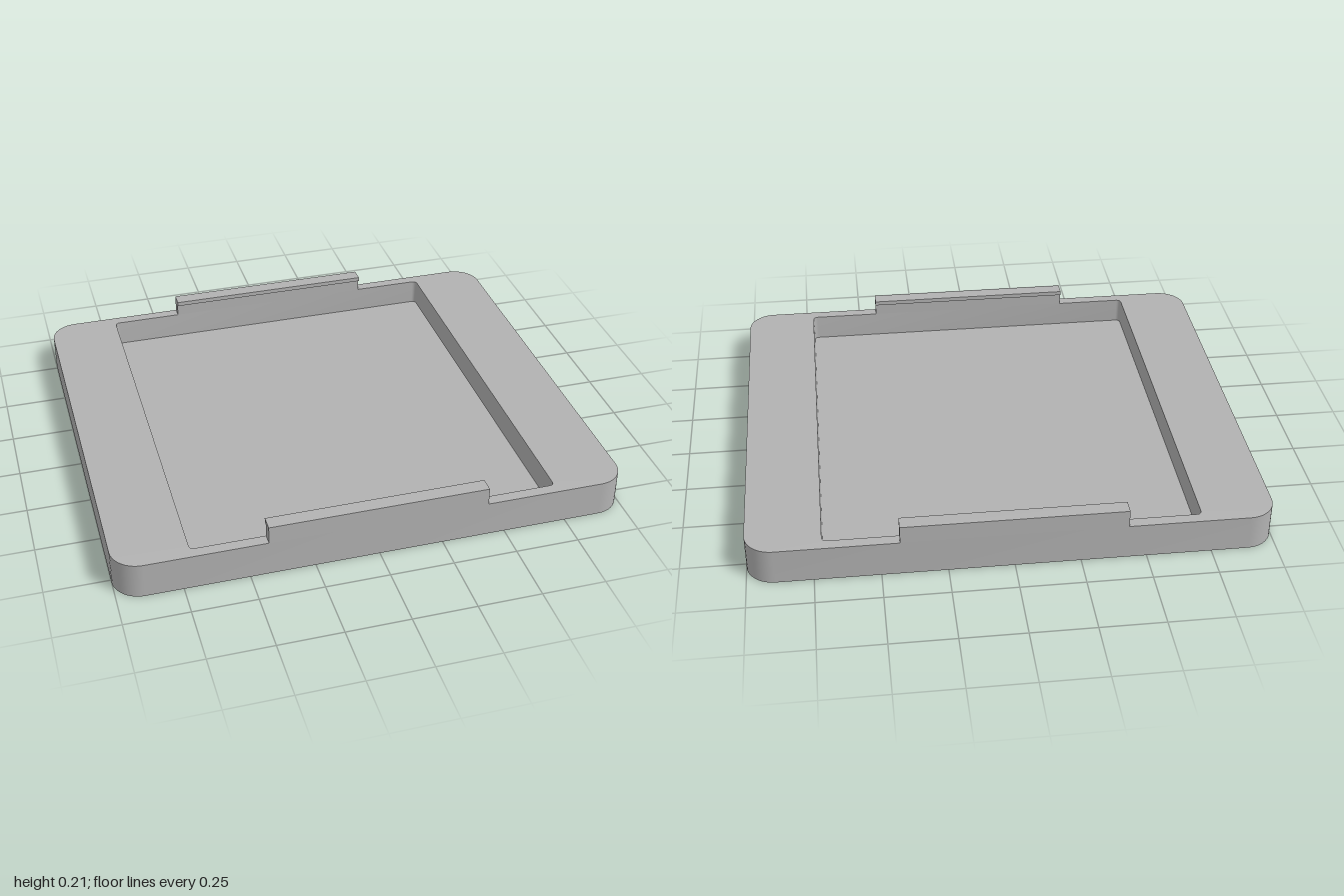
import * as THREE from 'three';
import { toCreasedNormals } from 'three/addons/utils/BufferGeometryUtils.js';

const HALF_X = 1, HALF_Z = 0.87;       // outer plate
const TOP = 0.143, FLOOR = 0.036;      // rim and pocket floor heights
const HOLE_R = 0.087, HOLE_TOP = 0.071; // blind holes underneath

// Counter-clockwise rounded rectangle, as a list of points
function roundedRect(hx, hz, r, steps) {
  const pts = [];
  [[1, 1], [-1, 1], [-1, -1], [1, -1]].forEach(([sx, sz], q) => {
    for (let i = 0; i <= steps; i++) {
      const a = (q + i / steps) * Math.PI / 2;
      pts.push(new THREE.Vector2(sx * (hx - r) + r * Math.cos(a), sz * (hz - r) + r * Math.sin(a)));
    }
  });
  return pts;
}

function circle(x, z, r, n = 40) {
  return Array.from({ length: n }, (_, i) => {
    const a = i / n * Math.PI * 2;
    return new THREE.Vector2(x + r * Math.cos(a), z + r * Math.sin(a));
  });
}

// Flat horizontal face with optional holes, facing up or down
function flatFace(outline, y, up, holes = []) {
  const shape = new THREE.Shape(outline);
  shape.holes = holes.map(h => new THREE.Path(h));
  return new THREE.ShapeGeometry(shape).rotateX(up ? -Math.PI / 2 : Math.PI / 2).translate(0, y, 0);
}

// Vertical wall along a closed loop, facing outwards or inwards
function wall(loop, y0, y1, outward) {
  const pts = outward ? loop : [...loop].reverse();
  const pos = [];
  pts.forEach((a, i) => {
    const b = pts[(i + 1) % pts.length];
    pos.push(a.x, y0, -a.y, b.x, y0, -b.y, b.x, y1, -b.y);
    pos.push(a.x, y0, -a.y, b.x, y1, -b.y, a.x, y1, -a.y);
  });
  const g = new THREE.BufferGeometry();
  g.setAttribute('position', new THREE.Float32BufferAttribute(pos, 3));
  return toCreasedNormals(g, Math.PI / 5);
}

export function createModel() {
  const model = new THREE.Group();
  model.name = 'clipTray';
  const grey = new THREE.MeshStandardMaterial({ color: 0xb2b2b2 });
  grey.name = 'grey plastic';

  function add(name, geometry) {
    const mesh = new THREE.Mesh(geometry, grey);
    mesh.name = name;
    model.add(mesh);
    return mesh;
  }

  // Plate with a rectangular pocket
  const outer = roundedRect(HALF_X, HALF_Z, 0.107, 10);
  const pocket = roundedRect(0.714, 0.825, 0.018, 4);
  add('outerWall', wall(outer, 0, TOP, true));
  add('rim', flatFace(outer, TOP, true, [pocket]));
  add('pocketWall', wall(pocket, FLOOR, TOP, false));
  add('pocketFloor', flatFace(pocket, FLOOR, true));

  // Two blind holes under each side rail
  const holes = [];
  for (const x of [-0.875, 0.875]) {
    for (const z of [-0.143, 0.143]) {
      const hole = circle(x, z, HOLE_R);
      holes.push(hole);
      add('holeWall', wall(hole, 0, HOLE_TOP, false));
      add('holeEnd', flatFace(hole, HOLE_TOP, false));
    }
  }
  add('underside', flatFace(outer, 0, false, holes));

  // Hooked clips on the front and back edges
  const profile = new THREE.Shape([
    [0.825, TOP], [HALF_Z, TOP], [HALF_Z, 0.214], [0.811, 0.214], [0.811, 0.196], [0.825, 0.196],
  ].map(([z, y]) => new THREE.Vector2(z, y)));
  const clip = new THREE.ExtrudeGeometry(profile, { depth: 0.856, bevelEnabled: false })
    .translate(0, 0, -0.428)
    .rotateY(-Math.PI / 2);
  add('frontClip', clip);
  add('backClip', clip).rotation.y = Math.PI;

  return model;
}
